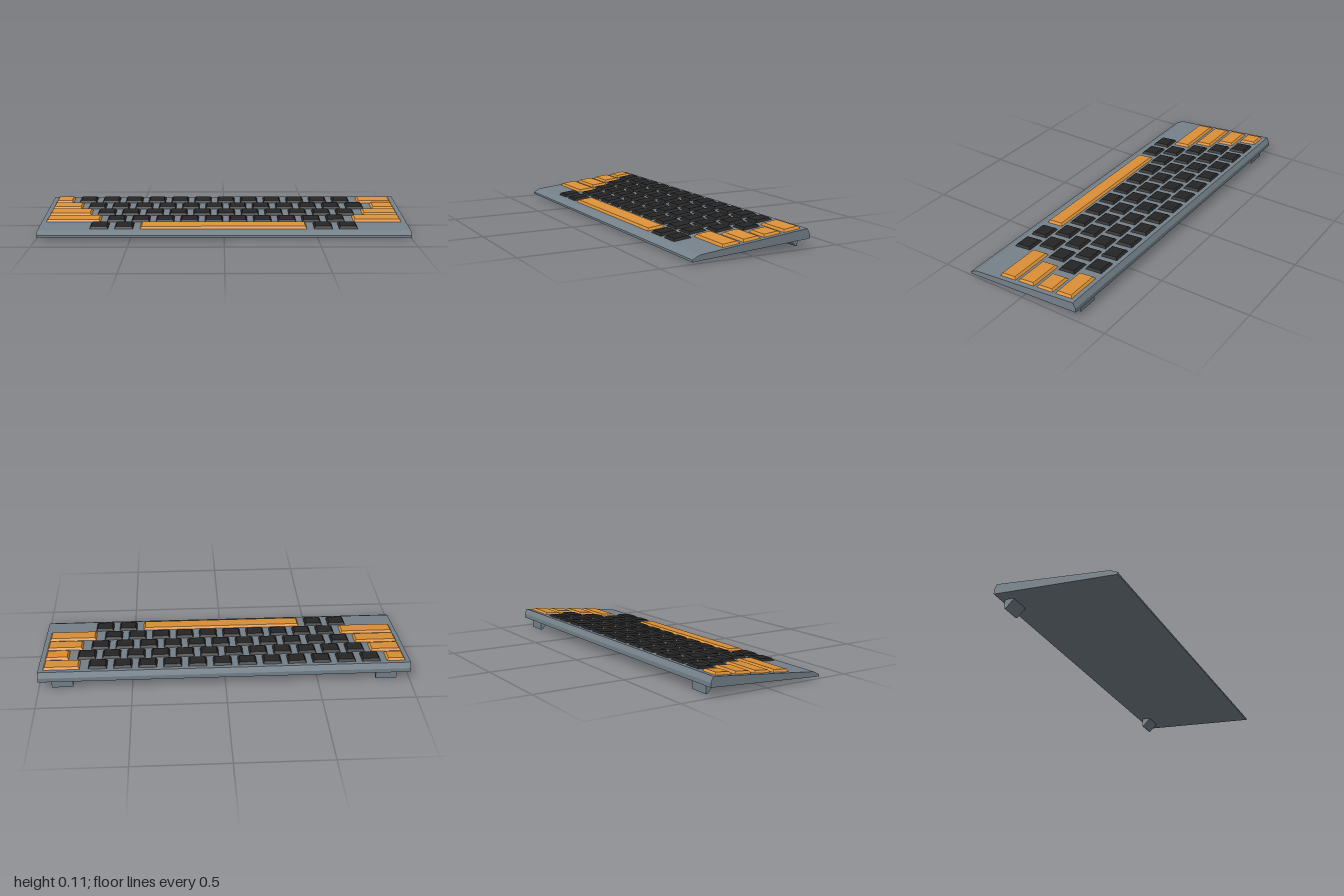
import * as THREE from 'three';

const caseGrey = new THREE.MeshStandardMaterial({ name: 'caseGrey', color: 0x75818a });
const keyOrange = new THREE.MeshStandardMaterial({ name: 'keyOrange', color: 0xdc9137 });
const keyBlack = new THREE.MeshStandardMaterial({ name: 'keyBlack', color: 0x252525 });

const SLOPE = 0.101; // rise of the deck towards the back
const deckY = (z) => 0.04 + (0.296 - z) * SLOPE;

// Side profile of [z, y] points, extruded across x and centred
function profile(points, width, name) {
  const shape = new THREE.Shape(points.map(([z, y]) => new THREE.Vector2(z, y)));
  const geometry = new THREE.ExtrudeGeometry(shape, { depth: width, bevelEnabled: false });
  geometry.translate(0, 0, -width / 2).rotateY(-Math.PI / 2);
  const mesh = new THREE.Mesh(geometry, caseGrey);
  mesh.name = name;
  return mesh;
}

// Keycap: a box whose top is drawn in on all four sides
function keycap(x0, x1, z, material, name) {
  const height = 0.018, depth = 0.106, inset = 0.013;
  const geometry = new THREE.BoxGeometry(x1 - x0, height, depth);
  const p = geometry.attributes.position;
  for (let i = 0; i < p.count; i++) {
    if (p.getY(i) < 0) continue;
    p.setX(i, p.getX(i) - Math.sign(p.getX(i)) * inset);
    p.setZ(i, p.getZ(i) - Math.sign(p.getZ(i)) * inset);
  }
  geometry.computeVertexNormals();
  const mesh = new THREE.Mesh(geometry, material);
  mesh.name = name;
  mesh.position.set((x0 + x1) / 2, deckY(z) + 0.0125 - height / 2, z);
  mesh.rotation.x = Math.atan(SLOPE);
  return mesh;
}

export function createModel() {
  const group = new THREE.Group();
  group.name = 'keyboard';

  // Wedge-shaped case
  group.add(profile([
    [0.333, 0.01], [0.333, 0.021], [0.296, 0.04], [-0.318, 0.102],
    [-0.333, 0.073], [-0.333, 0.05], [-0.315, 0.049],
  ], 2, 'case'));

  // Rear feet
  for (const side of [-1, 1]) {
    const foot = profile([
      [-0.258, 0.048], [-0.258, 0.045], [-0.3, 0.001], [-0.302, 0], [-0.31, 0], [-0.31, 0.052],
    ], 0.114, side > 0 ? 'leftFoot' : 'rightFoot');
    foot.position.x = side * 0.874;
    group.add(foot);
  }

  // Rows from front to back: centres of black keys, spans of orange keys
  const PITCH = 0.134;
  const run = (start, count) => Array.from({ length: count }, (_, i) => start + i * PITCH);
  const rows = [
    { black: [...run(-0.674, 2), ...run(0.535, 2)], orange: [[-0.457, 0.45]] },
    { black: run(-0.592, 10), orange: [[-0.98, -0.675], [0.708, 0.978]] },
    { black: run(-0.658, 11), orange: [[-0.98, -0.738], [0.775, 0.978]] },
    { black: run(-0.725, 12), orange: [[-0.98, -0.805], [0.842, 0.978]] },
    { black: run(-0.791, 12), orange: [[-0.98, -0.872], [0.775, 0.978]] },
  ];
  rows.forEach(({ black, orange }, r) => {
    const row = new THREE.Group();
    row.name = `keyRow${r + 1}`;
    const z = 0.2235 - r * 0.1168;
    for (const x of black) row.add(keycap(x - 0.054, x + 0.054, z, keyBlack, 'blackKey'));
    for (const [x0, x1] of orange) {
      row.add(keycap(x0, x1, z, keyOrange, r === 0 ? 'spaceBar' : 'orangeKey'));
    }
    group.add(row);
  });

  return group;
}
